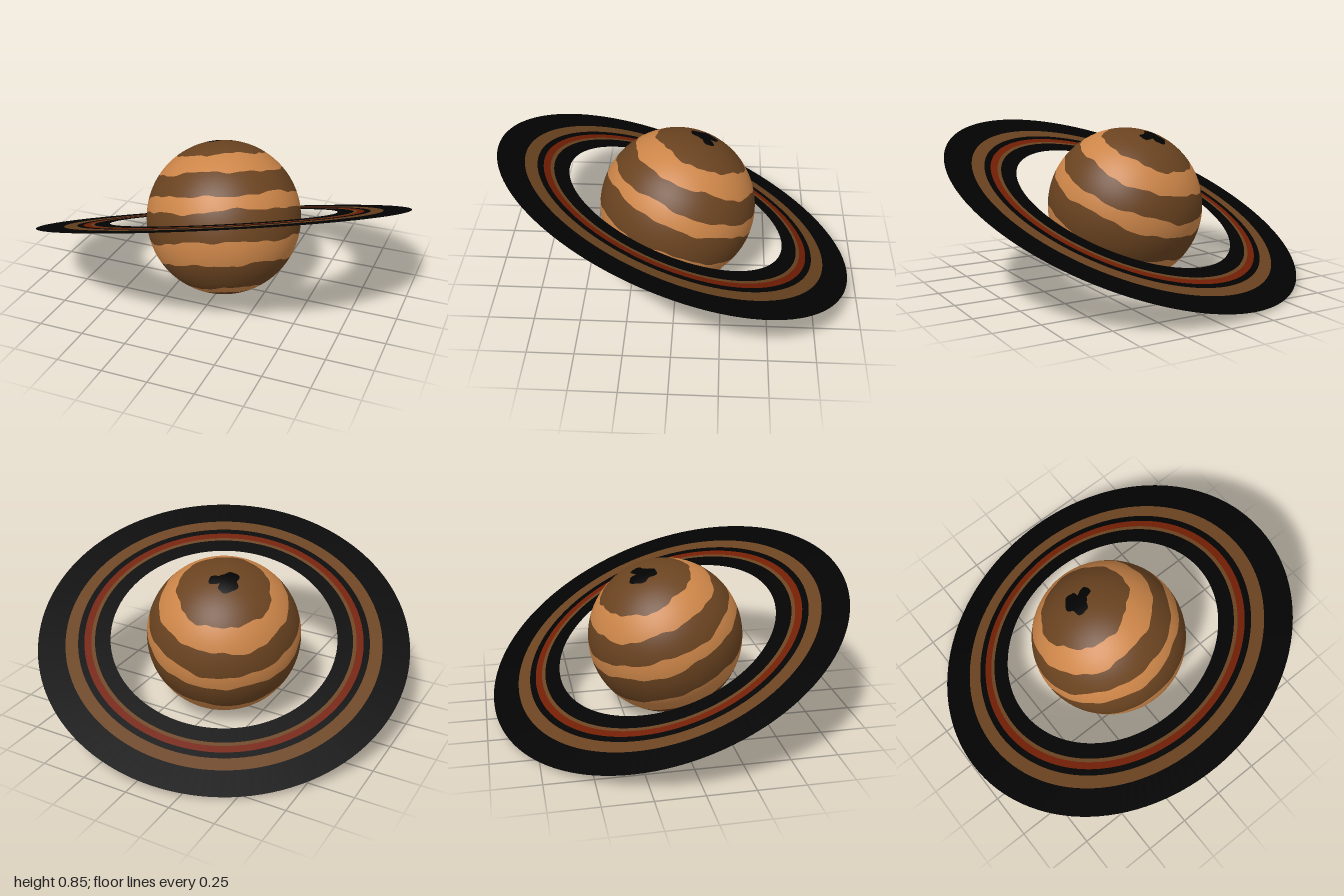
import * as THREE from 'three';

const R = 0.425;
const flat = (name, color, side = THREE.FrontSide) => {
  const m = new THREE.MeshStandardMaterial({ color, side });
  m.name = name;
  return m;
};

// Uneven border between two cloud bands: colatitude in degrees at angle a
const border = (deg, seed) => (a) => deg
  + 0.9 * Math.sin(4 * a + seed * 2.1) + 0.7 * Math.sin(7 * a + seed * 4.7)
  + 0.5 * Math.sin(13 * a + seed * 1.3) + 0.3 * Math.sin(23 * a + seed * 3.9);

// Lobed outline of the dark spot on the pole, one radius each 30 degrees
const LOBES = [11, 11, 3.5, 8, 10.5, 10, 11, 9, 12.5, 11, 7, 6.5];
const spot = (a) => {
  const t = (a / (Math.PI * 2)) * LOBES.length;
  const i = Math.floor(t), f = t - i, s = f * f * (3 - 2 * f);
  return THREE.MathUtils.lerp(LOBES[i % 12], LOBES[(i + 1) % 12], s);
};

// Slice of the sphere between two borders: a grid wrapped round the axis, with smooth normals
function bandGeometry(from, to) {
  const g = new THREE.PlaneGeometry(1, 1, 144, 10);
  const { position, normal, uv } = g.attributes;
  for (let i = 0; i < position.count; i++) {
    const a = (uv.getX(i) % 1) * Math.PI * 2;
    const c = THREE.MathUtils.degToRad(THREE.MathUtils.lerp(from(a), to(a), 1 - uv.getY(i)));
    const x = Math.sin(c) * Math.cos(a), y = Math.cos(c), z = -Math.sin(c) * Math.sin(a);
    position.setXYZ(i, x * R, y * R, z * R);
    normal.setXYZ(i, x, y, z);
  }
  return g;
}

export function createModel() {
  const light = flat('lightCloud', 0xcc8548);
  const brown = flat('brown', 0x6a4320, THREE.DoubleSide);
  const black = flat('black', 0x020202, THREE.DoubleSide);
  const red = flat('ringRed', 0x721e04, THREE.DoubleSide);

  const model = new THREE.Group();
  model.name = 'ringedPlanet';
  const add = (parent, name, geometry, material) => {
    const mesh = new THREE.Mesh(geometry, material);
    mesh.name = name;
    parent.add(mesh);
  };

  // Planet: cloud bands from the north pole to the south pole
  const planet = new THREE.Group();
  planet.name = 'planet';
  const edges = [() => 0, spot,
    ...[36, 54, 72, 83, 105, 123, 150, 160].map((d, i) => border(d, i + 1)),
    () => 180];
  for (let i = 0; i < edges.length - 1; i++) {
    const material = i === 0 ? black : i % 2 ? brown : light;
    add(planet, i === 0 ? 'polarSpot' : `cloudBand${i}`, bandGeometry(edges[i], edges[i + 1]), material);
  }

  // Flat concentric rings around the equator
  const rings = new THREE.Group();
  rings.name = 'rings';
  [
    ['innerRing', 0.625, 0.71, black],
    ['thinBrownRing', 0.71, 0.73, brown],
    ['redRing', 0.73, 0.768, red],
    ['gapRing', 0.768, 0.802, black],
    ['brownRing', 0.802, 0.871, brown],
    ['outerRing', 0.871, 1.02, black],
  ].forEach(([name, inner, outer, material]) =>
    add(rings, name, new THREE.RingGeometry(inner, outer, 128).rotateX(-Math.PI / 2), material));

  // Tilt the axis of planet and rings together
  const tilted = new THREE.Group();
  tilted.name = 'tiltedAxis';
  tilted.add(planet, rings);
  tilted.quaternion.setFromUnitVectors(
    new THREE.Vector3(0, 1, 0), new THREE.Vector3(-0.197, 0.914, -0.354).normalize());
  tilted.position.y = R;
  model.add(tilted);
  return model;
}
